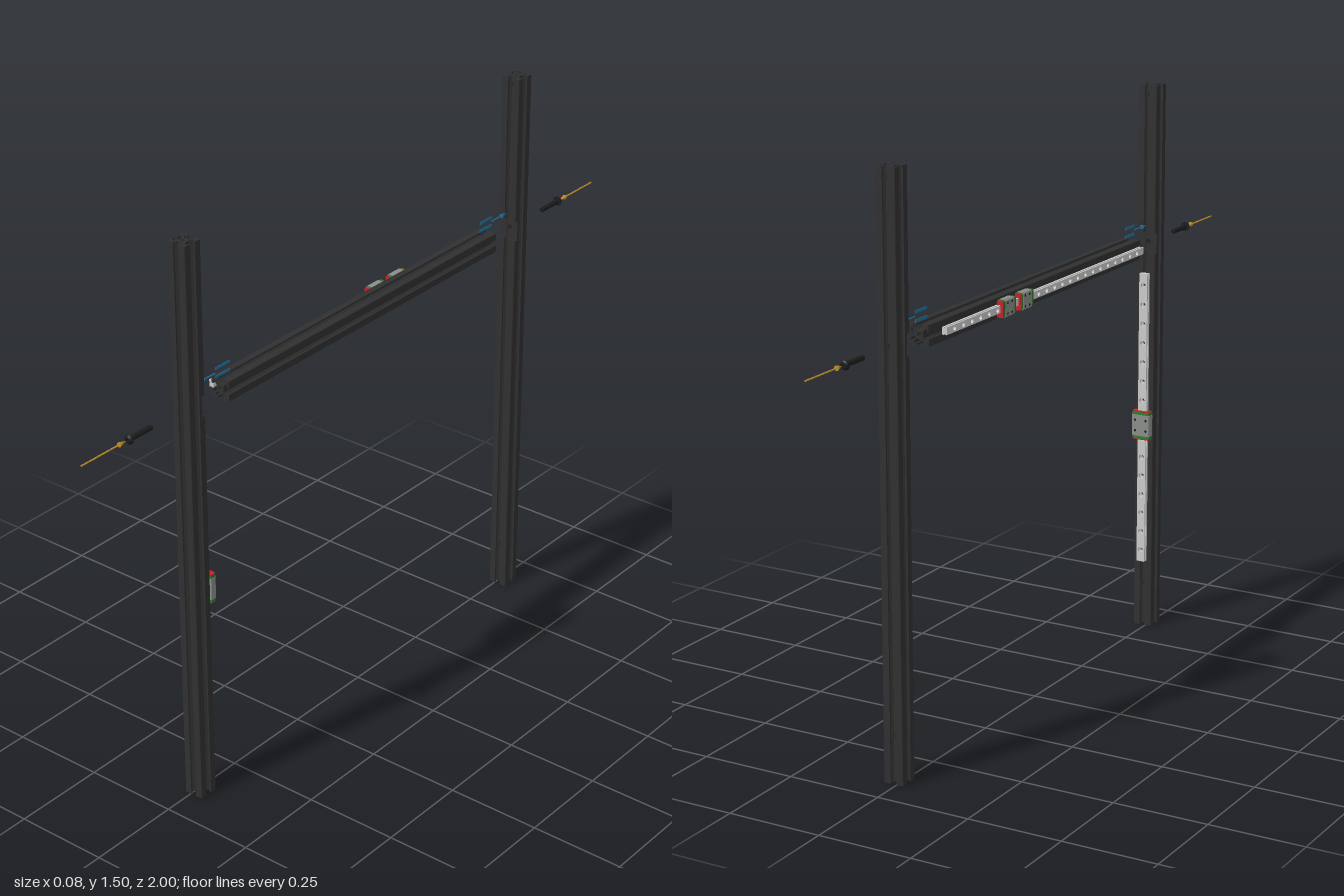
import * as THREE from 'three';
import { mergeGeometries } from 'three/addons/utils/BufferGeometryUtils.js';

const MM = 0.00266; // model units per millimetre
const V = (x, y, z) => new THREE.Vector3(x, y, z);
const mat = (color) => new THREE.MeshStandardMaterial({ color });
const black = mat(0x303030), dark = mat(0x1c1c1c), steel = mat(0xcccccc), body = mat(0x8a8f8a);
const green = mat(0x2e7d32), red = mat(0xd01c24), gold = mat(0xc09028), blue = mat(0x1f6f9f);

function add(parent, name, geo, material, x = 0, y = 0, z = 0) {
  const m = new THREE.Mesh(geo, material);
  m.name = name;
  m.position.set(x, y, z);
  parent.add(m);
  return m;
}

function group(parent, name) {
  const g = new THREE.Group();
  g.name = name;
  parent.add(g);
  return g;
}

const extrude = (shape, depth, curveSegments = 8) =>
  new THREE.ExtrudeGeometry(shape, { depth, bevelEnabled: false, curveSegments });

// One quarter of the slotted profile, in millimetres (other half mirrored on the diagonal)
const half = [[2.1, 0], [4, 0], [4, 2.8], [6.7, 5.5], [8.2, 5.5], [8.2, 3], [10, 3], [10, 9.5]];
const quarter = [...half, ...half.map(([a, b]) => [b, a]).reverse(), [1.5, 1.5]];

// Slotted profile extruded along z; wx, wz open a gap through the core, notch trims the -y side
function slotted(length, wx = 0, wz = 0, notch = 10) {
  const parts = [];
  for (const sx of [1, -1]) for (const sy of [1, -1]) {
    const lim = sy > 0 ? notch : 10;
    const pts = quarter.map(([a, b]) =>
      new THREE.Vector2(sx * Math.max(a, wx) * MM, sy * Math.min(Math.max(b, wz), lim) * MM));
    const unique = pts.filter((p, i) => p.distanceTo(pts[(i + 1) % pts.length]) > 1e-6);
    parts.push(extrude(new THREE.Shape(unique), length));
  }
  return mergeGeometries(parts);
}

// Upright: cut into slices so that the round cross-holes and the joint notch pass through
function postGeometry() {
  const H = 1.505, r = 2.8 * MM, joint = 1.083;
  const holesX = [0.12, 1.03, 1.135, 1.48], holesZ = [0.12, joint, 1.48];
  const notch = [1.056, 1.11];
  const cuts = new Set([0, H, ...notch]);
  for (const h of new Set([...holesX, ...holesZ]))
    for (let k = 0; k <= 8; k++) cuts.add(+(h - r * Math.cos(Math.PI * k / 8)).toFixed(6));
  const ys = [...cuts].sort((a, b) => a - b);
  const gap = (holes, y) => {
    const h = holes.find((c) => Math.abs(c - y) < r);
    return h === undefined ? 0 : Math.sqrt(r * r - (h - y) ** 2) / MM;
  };
  const parts = [];
  for (let i = 0; i + 1 < ys.length; i++) {
    const m = (ys[i] + ys[i + 1]) / 2;
    const inNotch = m > notch[0] && m < notch[1];
    const g = slotted(ys[i + 1] - ys[i], gap(holesZ, m), gap(holesX, m), inNotch ? 6.3 : 10);
    g.rotateX(-Math.PI / 2);
    g.translate(0, ys[i], 0);
    parts.push(g);
  }
  return mergeGeometries(parts);
}

// Linear rail: length on y, height on z, waisted sides and counterbored screw holes
function rail(parent, name, length, width, height, pitch) {
  const g = group(parent, name);
  const layer = (w, bore, z0, z1) => {
    const s = new THREE.Shape();
    s.moveTo(-w / 2, -length / 2);
    s.lineTo(w / 2, -length / 2);
    s.lineTo(w / 2, length / 2);
    s.lineTo(-w / 2, length / 2);
    const n = Math.floor(length / pitch);
    for (let i = 0; i < n; i++) {
      const hole = new THREE.Path();
      hole.absarc(0, (i - (n - 1) / 2) * pitch, bore, 0, Math.PI * 2, true);
      s.holes.push(hole);
    }
    add(g, 'railLayer', extrude(s, z1 - z0, 6), steel, 0, 0, z0);
  };
  layer(width, width * 0.2, 0, height * 0.45);
  layer(width * 0.8, width * 0.32, height * 0.45, height * 0.7);
  layer(width, width * 0.32, height * 0.7, height);
  return g;
}

// Carriage: C-shaped block straddling the rail, with end caps and seals
function carriage(parent, y, length, width, z0, z1, railW, railH) {
  const g = group(parent, 'carriage');
  g.position.y = y;
  const cap = 3 * MM, seal = 0.9 * MM;
  const section = (inset) => {
    const w = width / 2 - inset, c = 1.2 * MM, top = z1 - inset, gapW = railW / 2 + 0.3 * MM;
    const gapZ = railH + 0.3 * MM;
    return new THREE.Shape([[-w, z0], [-gapW, z0], [-gapW, gapZ], [gapW, gapZ], [gapW, z0], [w, z0],
      [w, top - c], [w - c, top], [-w + c, top], [-w, top - c]].map((p) => new THREE.Vector2(...p)));
  };
  const slab = (name, len, inset, material, at) => {
    const geo = extrude(section(inset), len);
    geo.rotateX(Math.PI / 2);
    geo.translate(0, len / 2, 0);
    add(g, name, geo, material, 0, at, 0);
  };
  const core = length - 2 * (cap + seal);
  slab('carriageBody', core, 0, body, 0);
  for (const s of [-1, 1]) {
    slab('endCap', cap, 0.4 * MM, green, s * (core + cap) / 2);
    slab('endSeal', seal, 0.5 * MM, red, s * (core / 2 + cap + seal / 2));
    for (const t of [-1, 1]) {
      const socket = new THREE.CylinderGeometry(1.3 * MM, 1.3 * MM, 0.2 * MM, 12).rotateX(Math.PI / 2);
      add(g, 'mountingHole', socket, dark, s * width * 0.3, t * core * 0.25, z1);
    }
  }
}

// Thin dashed arrow along z from tail to tip
function arrow(parent, name, tail, tip, y, r, dashes, material) {
  const g = group(parent, name), dir = Math.sign(tip - tail), headLen = 0.024;
  const head = new THREE.ConeGeometry(r * 3, headLen, 10).rotateX(dir * Math.PI / 2);
  add(g, 'arrowHead', head, material, 0, y, tip - dir * headLen / 2);
  const step = (tip - dir * headLen - tail) / dashes;
  const len = Math.abs(step) * (dashes > 1 ? 0.75 : 1);
  for (let i = 0; i < dashes; i++) {
    const dash = new THREE.CylinderGeometry(r, r, len, 8).rotateX(Math.PI / 2);
    add(g, 'arrowShaft', dash, material, 0, y, tail + dir * len / 2 + step * i);
  }
}

export function createModel() {
  const model = new THREE.Group();
  model.name = 'explodedFrame';
  const root = group(model, 'frame');
  root.position.x = 0.009;
  const barY = 1.083, postZ = 0.639, face = 10 * MM;

  // Button-head bolt with a hex recess, head towards +z
  const boltPts = [[0, -30], [2.2, -30], [2.5, -29.5], [2.5, -2.8], [4.75, -2.8], [4.75, -2], [4.2, -0.9],
    [3, -0.1], [1.6, 0], [1.6, -1.6], [0, -1.6]].map(([x, y]) => new THREE.Vector2(x * MM, y * MM));
  const boltGeo = new THREE.LatheGeometry(boltPts, 18).toNonIndexed();
  boltGeo.computeVertexNormals();
  boltGeo.rotateX(Math.PI / 2);
  const postGeo = postGeometry();

  // Both ends: upright, bolt and assembly arrows
  for (const [name, turn] of [['frontEnd', 0], ['backEnd', Math.PI]]) {
    const end = group(root, name);
    end.rotation.y = turn;
    add(end, 'post', postGeo, black, 0, 0, postZ);
    add(end, 'bolt', boltGeo, dark, 0, barY, 0.848);
    arrow(end, 'toolArrow', 1.0, 0.852, barY, 0.0022, 9, gold);
    arrow(end, 'joinArrow', 0.545, 0.61, 1.13, 0.002, 1, blue);
    for (const y of [1.119, 1.141])
      add(end, 'arrowTab', new THREE.BoxGeometry(0.002, 0.007, 0.05), blue, 0, y, 0.518);
  }

  // Crossbar
  const barLen = 1.056;
  add(root, 'crossbar', slotted(barLen), black, 0, barY, -barLen / 2);

  // Rail and carriage on the inner face of the front post
  const postRail = rail(root, 'postRail', 0.81, 9 * MM, 5.5 * MM, 20 * MM);
  postRail.rotation.y = Math.PI;
  postRail.position.set(0, 0.595, postZ - face);
  carriage(postRail, -0.015, 0.08, 20 * MM, 1.6 * MM, 8.8 * MM, 9 * MM, 5.5 * MM);

  // Rail and two carriages on the right side of the crossbar
  const barRail = rail(root, 'crossbarRail', 0.99, 7 * MM, 5 * MM, 15 * MM);
  barRail.quaternion.setFromRotationMatrix(
    new THREE.Matrix4().makeBasis(V(0, -1, 0), V(0, 0, 1), V(-1, 0, 0)));
  barRail.position.set(-face, barY, 0.026);
  for (const z of [-0.105, -0.19])
    carriage(barRail, z - 0.026, 0.062, 17 * MM, 1.5 * MM, 8.3 * MM, 7 * MM, 5 * MM);

  return model;
}
